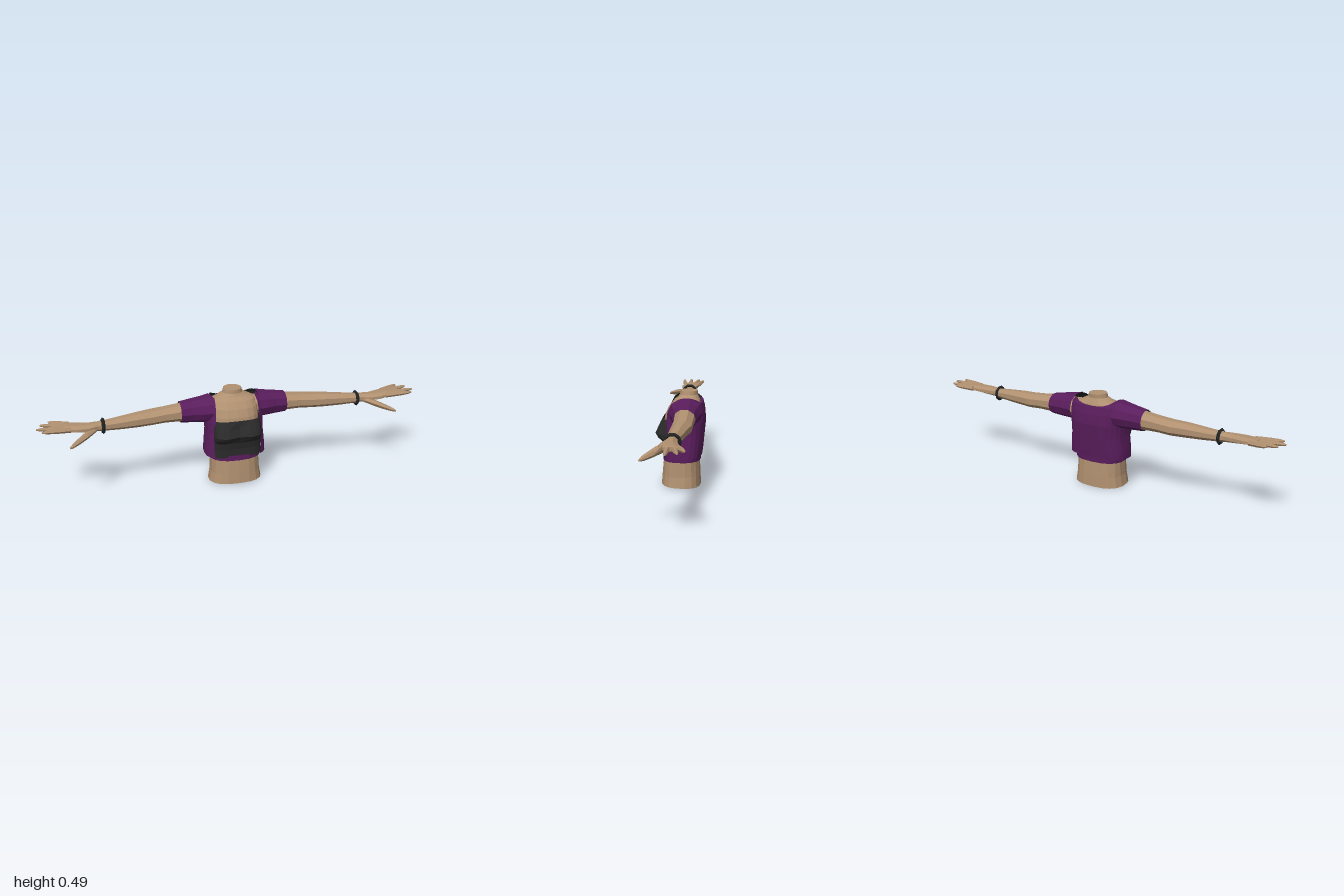
import * as THREE from 'three';

const material = (name, color, side = THREE.FrontSide) => {
  const m = new THREE.MeshStandardMaterial({ color, flatShading: true, side });
  m.name = name;
  return m;
};

// Skins a list of equal-length point rings; optional wrap, end caps and reversed faces.
function loft(rings, { closed = true, capStart = false, capEnd = false, flip = false } = {}) {
  const n = rings[0].length, pos = rings.flat(2), idx = [];
  const tri = (a, b, c) => (flip ? idx.push(a, c, b) : idx.push(a, b, c));
  for (let r = 0; r < rings.length - 1; r++) {
    for (let i = 0; i < (closed ? n : n - 1); i++) {
      const a = r * n + i, b = r * n + (i + 1) % n;
      tri(a, b, b + n);
      tri(a, b + n, a + n);
    }
  }
  const cap = (r, start) => {
    const c = pos.length / 3;
    for (let k = 0; k < 3; k++) pos.push(rings[r].reduce((s, p) => s + p[k], 0) / n);
    for (let i = 0; i < n; i++) {
      const a = r * n + i, b = r * n + (i + 1) % n;
      if (start) tri(c, b, a); else tri(c, a, b);
    }
  };
  if (capStart) cap(0, true);
  if (capEnd) cap(rings.length - 1, false);
  const g = new THREE.BufferGeometry();
  g.setAttribute('position', new THREE.Float32BufferAttribute(pos, 3));
  g.setIndex(idx);
  const flat = g.toNonIndexed();
  flat.computeVertexNormals();
  return flat;
}

const spow = (v, e) => Math.sign(v) * Math.abs(v) ** e;

// Point on a rounded body outline; angle 0 is the front centre.
function bodyPoint(a, y, hw, zf, zb, n) {
  return [hw * spow(Math.sin(a), 2 / n), y, (zf + zb) / 2 + (zf - zb) / 2 * spow(Math.cos(a), 2 / n)];
}

function bodyRing(y, hw, zf, zb, { n = 2.5, count = 18, from = 0, to = Math.PI * 2, open = false } = {}) {
  return Array.from({ length: count }, (_, i) =>
    bodyPoint(from + (to - from) * i / (open ? count - 1 : count), y, hw, zf, zb, n));
}

// Cross-sections along an arm: [x, centre y, half height, centre z, half depth].
const limbRings = (sections, side, sides) => sections.map(([x, cy, hy, cz, hz]) =>
  Array.from({ length: sides }, (_, i) => {
    const a = (i + 0.5) / sides * Math.PI * 2;
    return [side * x, cy + hy * Math.cos(a), cz + hz * Math.sin(a)];
  }));

export function createModel() {
  const model = new THREE.Group();
  const skin = material('skin', 0xb09070);
  const purple = material('purple cloth', 0x591d5c);
  const purpleOpen = material('purple hem cloth', 0x591d5c, THREE.DoubleSide);
  const black = material('black cloth', 0x2a2a2a, THREE.DoubleSide);
  const dark = material('dark lining', 0x212323);

  const add = (name, geometry, mat, parent = model) => {
    const mesh = new THREE.Mesh(geometry, mat);
    mesh.name = name;
    parent.add(mesh);
    return mesh;
  };

  // Waist, chest and neck
  const torso = [
    [0.005, 0.14, 0.1, -0.105], [0.06, 0.13, 0.096, -0.103], [0.15, 0.126, 0.088, -0.098],
    [0.25, 0.128, 0.074, -0.1], [0.34, 0.127, 0.086, -0.108], [0.37, 0.125, 0.08, -0.108],
    [0.41, 0.122, 0.062, -0.104], [0.443, 0.112, 0.036, -0.1], [0.46, 0.08, 0.015, -0.093],
    [0.474, 0.052, 0.006, -0.087], [0.494, 0.047, 0.004, -0.088],
  ].map((r, i) => bodyRing(...r, { n: i > 7 ? 2 : 2.5 }));
  torso[0].forEach((p) => { p[1] += p[2] * 0.04; });
  add('torso', loft(torso, { capStart: true, capEnd: true }), skin);

  // Fitted top with a soft dip along the centre of the chest
  const top = [
    [0.156, 0.134, 0.087, -0.07], [0.2, 0.132, 0.086, -0.07], [0.238, 0.13, 0.092, -0.07],
    [0.262, 0.128, 0.119, -0.07], [0.28, 0.127, 0.13, -0.07], [0.318, 0.125, 0.112, -0.07],
    [0.358, 0.123, 0.089, -0.07],
  ].map((r, i) => {
    const ring = bodyRing(...r, { n: 3.6, count: 13, from: -Math.PI / 2, to: Math.PI / 2, open: true });
    if (i > 2 && i < 6) ring.forEach((p) => { p[2] -= 0.014 * Math.max(0, 1 - Math.abs(p[0]) / 0.06); });
    return ring;
  });
  add('chestTop', loft(top, { closed: false }), black);

  // Band around the waist
  const hem = [[0.138, 0.134, 0.092, -0.105], [0.166, 0.136, 0.09, -0.106]].map((r) => bodyRing(...r));
  add('waistHem', loft(hem), purpleOpen);

  // Short open jacket: the last number of each row is half the front gap
  const jacketRings = [
    [0.155, 0.16, 0.092, -0.112, 0.12], [0.2, 0.158, 0.092, -0.116, 0.124],
    [0.28, 0.15, 0.093, -0.124, 0.122], [0.345, 0.15, 0.09, -0.13, 0.115],
    [0.4, 0.152, 0.08, -0.125, 0.112], [0.44, 0.145, 0.06, -0.116, 0.11],
    [0.47, 0.118, 0.03, -0.102, 0.106],
  ].map(([y, hw, zf, zb, gap], i) => {
    const n = 2.8, a0 = Math.asin((gap / hw) ** (n / 2));
    const ring = bodyRing(y, hw, zf, zb, { n, count: 19, from: a0, to: Math.PI * 2 - a0, open: true });
    // Scooped neckline and a raised back hem
    ring.forEach((p, k) => {
      const u = k / 18, back = Math.sin(u * Math.PI) ** 2;
      if (i === 6) p[1] -= 0.032 * Math.cos(a0 + (Math.PI * 2 - 2 * a0) * u) ** 2;
      if (i === 0) p[1] += 0.013 * back;
    });
    return ring;
  });
  add('jacket', loft(jacketRings, { closed: false }), purple);
  add('jacketLining', loft(jacketRings, { closed: false, flip: true }), dark);

  const sleeve = [
    [0.125, 0.4, 0.071, -0.03, 0.088], [0.165, 0.397, 0.066, -0.03, 0.079],
    [0.22, 0.394, 0.061, -0.033, 0.065], [0.28, 0.391, 0.054, -0.034, 0.058],
  ];
  const arm = [
    [0.11, 0.395, 0.05, -0.033, 0.055], [0.27, 0.391, 0.047, -0.034, 0.052],
    [0.36, 0.387, 0.041, -0.034, 0.049], [0.43, 0.382, 0.04, -0.032, 0.05],
    [0.5, 0.38, 0.038, -0.023, 0.044], [0.58, 0.377, 0.033, -0.015, 0.037],
    [0.66, 0.375, 0.027, -0.008, 0.029], [0.7, 0.376, 0.024, -0.004, 0.028],
    [0.745, 0.377, 0.022, 0.002, 0.04], [0.8, 0.381, 0.019, -0.002, 0.05],
    [0.85, 0.385, 0.015, -0.01, 0.048], [0.87, 0.387, 0.01, -0.01, 0.043],
  ];
  const thumb = [
    [0.71, 0.369, 0.014, 0.008, 0.02], [0.76, 0.357, 0.018, 0.046, 0.027],
    [0.805, 0.344, 0.015, 0.083, 0.02], [0.835, 0.336, 0.011, 0.107, 0.014],
    [0.852, 0.331, 0.005, 0.12, 0.006],
  ];
  // Fingers: base z, tip x, tip z
  const fingers = [[-0.045, 0.937, -0.077], [-0.022, 0.98, -0.049], [0.002, 1, 0], [0.026, 0.975, 0.042]];

  for (const side of [1, -1]) {
    const flip = side < 0;
    const group = new THREE.Group();
    group.name = flip ? 'rightArm' : 'leftArm';
    model.add(group);

    add('sleeve', loft(limbRings(sleeve, side, 10), { flip }), purple, group);
    add('sleeveLining', loft(limbRings(sleeve, side, 10), { flip: !flip }), dark, group);
    add('armAndPalm', loft(limbRings(arm, side, 8), { flip, capStart: true, capEnd: true }), skin, group);
    add('thumb', loft(limbRings(thumb, side, 6), { flip, capStart: true, capEnd: true }), skin, group);

    for (const [bz, tx, tz] of fingers) {
      const sections = [[0, 0.013], [0.5, 0.012], [0.85, 0.009], [1, 0.004]].map(([t, r]) =>
        [0.835 + (tx - 0.835) * t, 0.384 + 0.009 * t, r, bz + (tz - bz) * t, r]);
      add('finger', loft(limbRings(sections, side, 6), { flip, capStart: true, capEnd: true }), skin, group);
    }

    // Wristband
    const band = add('wristband', new THREE.TorusGeometry(0.033, 0.009, 4, 10), dark, group);
    band.rotation.y = Math.PI / 2;
    band.position.set(side * 0.675, 0.374, -0.007);
  }
  return model;
}
